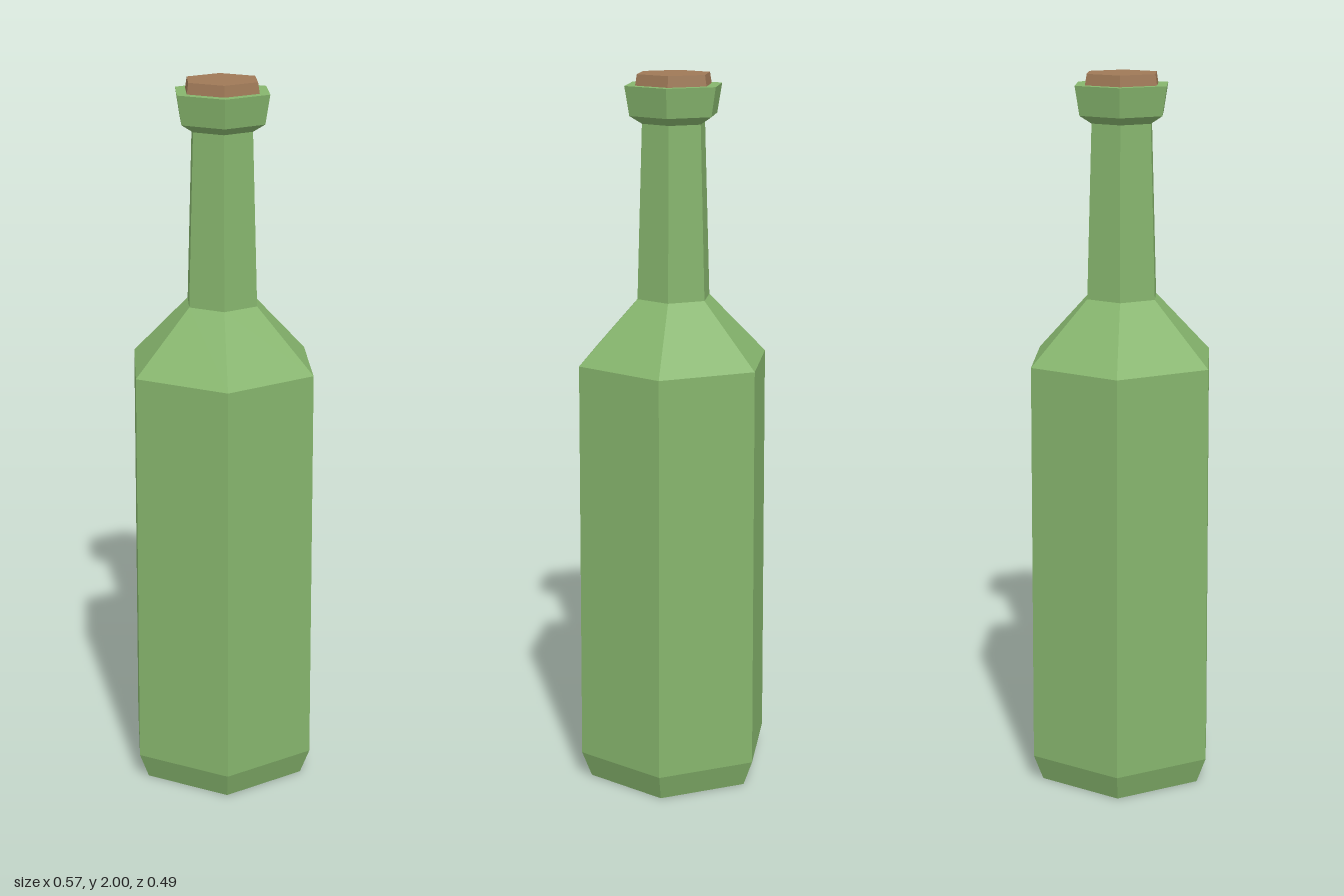
import * as THREE from 'three';

const glass = new THREE.MeshStandardMaterial({ color: 0x86b56d, flatShading: true });
glass.name = 'green glass';
const corkBrown = new THREE.MeshStandardMaterial({ color: 0x9f7957, flatShading: true });
corkBrown.name = 'cork brown';

// Six-sided turned part from [radius, height] pairs, with a corner on +x
function hexTurned(name, profile, material) {
  const points = profile.map(([r, y]) => new THREE.Vector2(r, y));
  const geometry = new THREE.LatheGeometry(points, 6, Math.PI / 2).toNonIndexed();
  geometry.computeVertexNormals();
  const mesh = new THREE.Mesh(geometry, material);
  mesh.name = name;
  return mesh;
}

export function createModel() {
  const bottle = new THREE.Group();
  bottle.name = 'bottle';

  // Base, body, shoulder and tapering neck
  bottle.add(hexTurned('body', [
    [0, 0], [0.255, 0], [0.284, 0.075], [0.279, 1.215], [0.107, 1.39], [0.092, 1.87],
  ], glass));

  // Flared lip around the mouth
  bottle.add(hexTurned('lip', [
    [0.092, 1.868], [0.128, 1.89], [0.142, 1.97], [0.1, 1.97],
  ], glass));

  // Cork standing slightly proud of the lip
  bottle.add(hexTurned('cork', [
    [0.112, 1.965], [0.106, 2], [0, 2],
  ], corkBrown));

  return bottle;
}
